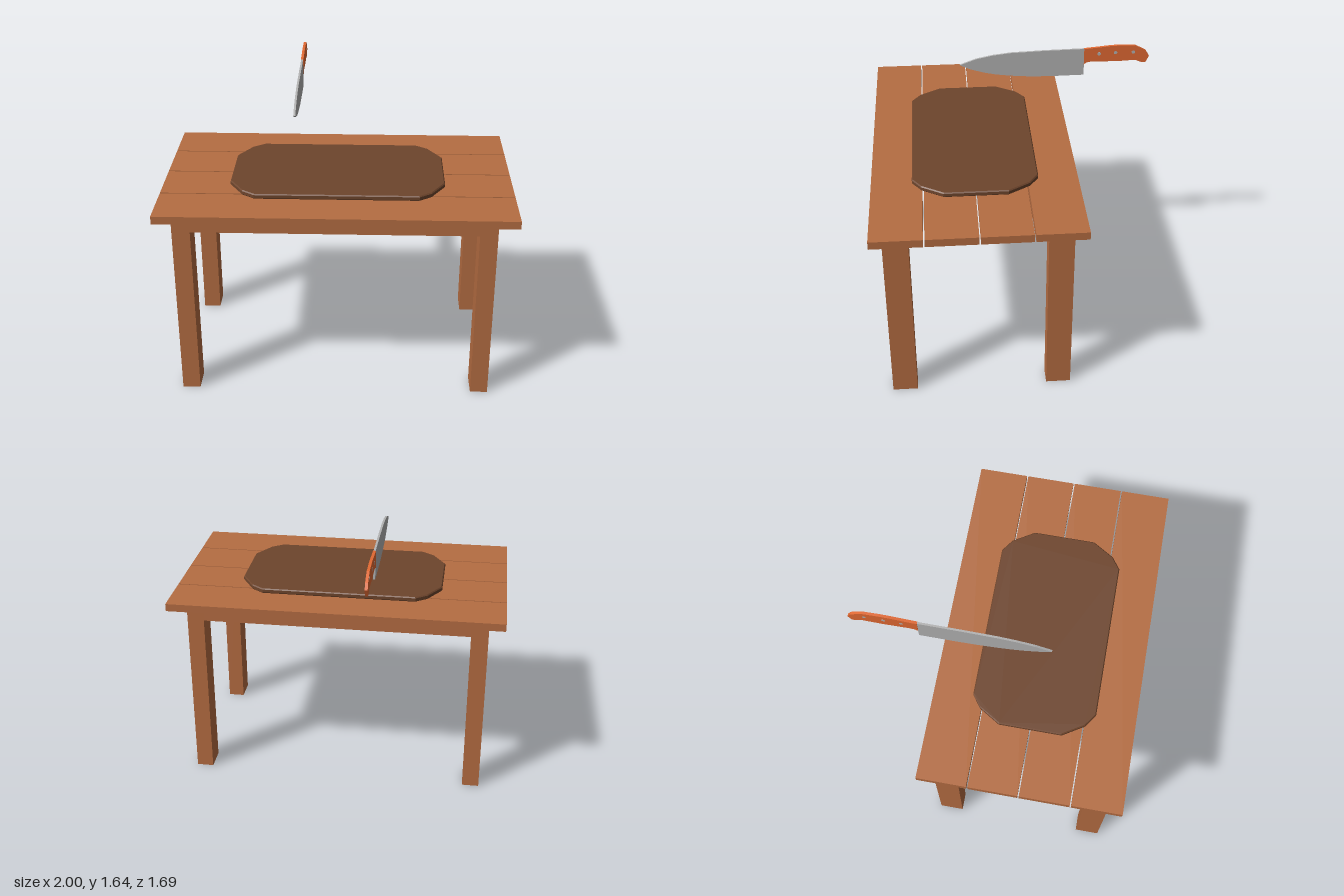
import * as THREE from 'three';

const material = (color) => new THREE.MeshStandardMaterial({ color, flatShading: true });

export function createModel() {
  const model = new THREE.Group();
  const wood = material(0xb56d42);
  const darkWood = material(0x6e452c);
  const steel = material(0xb4b4b4);
  const orange = material(0xe36a33);

  function add(parent, name, geometry, mat) {
    const mesh = new THREE.Mesh(geometry, mat);
    mesh.name = name;
    parent.add(mesh);
    return mesh;
  }

  // Box given by its lower and upper limits on each axis
  function box(parent, name, [x0, x1], [y0, y1], [z0, z1], mat) {
    const mesh = add(parent, name, new THREE.BoxGeometry(x1 - x0, y1 - y0, z1 - z0), mat);
    mesh.position.set((x0 + x1) / 2, (y0 + y1) / 2, (z0 + z1) / 2);
  }

  const outline = (points) => new THREE.Shape(points.map(([a, b]) => new THREE.Vector2(a, b)));

  // Table: four planks, four legs, two long aprons
  const table = new THREE.Group();
  table.name = 'table';
  model.add(table);
  for (const z of [[-0.335, -0.046], [-0.038, 0.247], [0.255, 0.544], [0.552, 0.842]]) {
    box(table, 'tablePlank', [-1, 1], [1.117, 1.163], z, wood);
  }
  for (const z of [[-0.27, -0.127], [0.635, 0.778]]) {
    for (const x of [[-0.905, -0.803], [0.79, 0.89]]) {
      box(table, 'tableLeg', x, [0, 1.117], z, wood);
    }
    box(table, 'apron', [-0.803, 0.79], [1.037, 1.117], z, wood);
  }

  // Cutting board: cut-cornered slab with a small bevel, mirrored about its centre
  const corner = [[0.606, 0.18], [0.53, 0.303], [0.46, 0.352]];
  const mirrored = corner.map(([x, z]) => [-x, z]).reverse();
  const half = [...corner, ...mirrored];
  const boardShape = outline([...half, ...half.map(([x, z]) => [-x, -z])]);
  const boardGeometry = new THREE.ExtrudeGeometry(boardShape, {
    depth: 0.018, bevelEnabled: true, bevelSize: 0.006, bevelThickness: 0.006, bevelSegments: 1,
  });
  boardGeometry.rotateX(Math.PI / 2);
  add(model, 'cuttingBoard', boardGeometry, darkWood).position.set(0, 1.187, 0.252);

  // Knife, hovering blade forward; profiles are drawn as (z, y)
  const knife = new THREE.Group();
  knife.name = 'knife';
  knife.position.x = -0.25;
  model.add(knife);

  function profile(name, points, thickness, mat) {
    const geometry = new THREE.ExtrudeGeometry(outline(points), { depth: thickness, bevelEnabled: false });
    geometry.translate(0, 0, -thickness / 2);
    geometry.rotateY(-Math.PI / 2);
    add(knife, name, geometry, mat);
  }

  profile('blade', [
    [-0.448, 1.62], [-0.2, 1.616], [0, 1.609], [0.11, 1.596], [0.208, 1.576], [0.305, 1.54],
    [0.244, 1.511], [0.163, 1.486], [0.09, 1.47], [0, 1.458], [-0.12, 1.448], [-0.245, 1.445], [-0.448, 1.447],
  ], 0.012, steel);

  profile('handle', [
    [-0.447, 1.62], [-0.52, 1.626], [-0.606, 1.634], [-0.66, 1.636], [-0.756, 1.632], [-0.8, 1.609],
    [-0.824, 1.595], [-0.844, 1.56], [-0.824, 1.518], [-0.8, 1.52], [-0.76, 1.537], [-0.65, 1.532],
    [-0.493, 1.536], [-0.465, 1.531], [-0.447, 1.518],
  ], 0.016, orange);

  // Rivets pass right through the handle
  for (const [z, y] of [[-0.538, 1.586], [-0.638, 1.59], [-0.747, 1.59]]) {
    const rivet = add(knife, 'rivet', new THREE.CylinderGeometry(0.011, 0.011, 0.018, 10), steel);
    rivet.rotation.z = Math.PI / 2;
    rivet.position.set(0, y, z);
  }

  return model;
}
